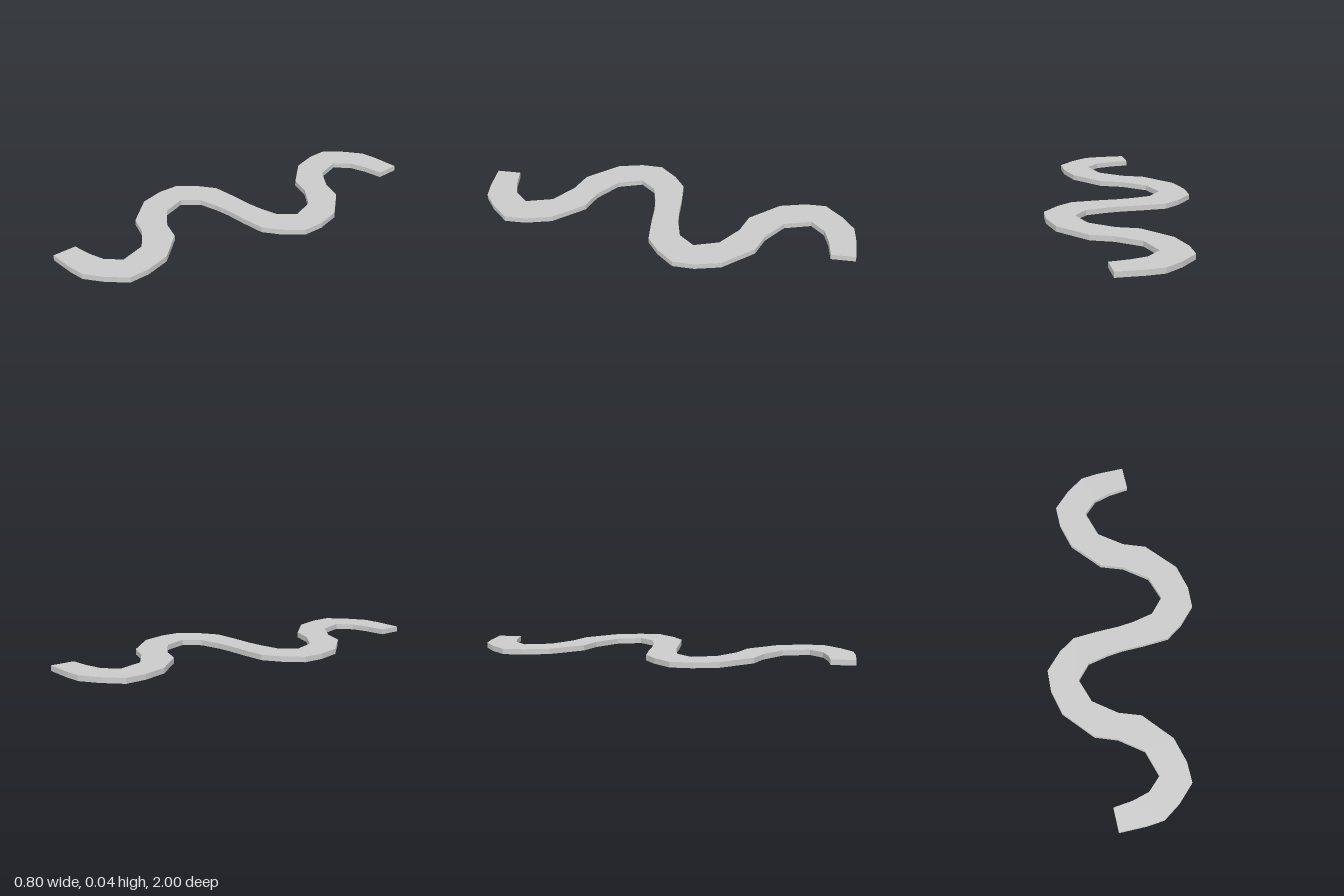
import * as THREE from 'three';

export function createModel() {
  const group = new THREE.Group();
  group.name = 'windingPath';

  // One long edge of the path as (x, z); the other edge is the same turned half a circle
  const edge = [
    [0.145, -1], [0, -0.987], [-0.087, -0.97], [-0.172, -0.9], [-0.25, -0.807],
    [-0.24, -0.7], [-0.193, -0.57], [-0.05, -0.43], [0.066, -0.4], [0.193, -0.32],
    [0.246, -0.198], [0.183, -0.114], [0.08, -0.082], [0, -0.066], [-0.12, -0.053],
    [-0.246, -0.034], [-0.325, 0.03], [-0.4, 0.125], [-0.395, 0.235], [-0.352, 0.362],
    [-0.204, 0.505], [-0.087, 0.537], [0.04, 0.616], [0.093, 0.75], [0.03, 0.823],
    [-0.055, 0.855], [-0.156, 0.876],
  ];
  const outline = [...edge, ...edge.map(([x, z]) => [-x, -z])];
  const shape = new THREE.Shape(outline.map(([x, z]) => new THREE.Vector2(x, z)));

  // Flat slab laid down on the ground
  const thickness = 0.028;
  const geometry = new THREE.ExtrudeGeometry(shape, { depth: thickness, bevelEnabled: false });
  geometry.rotateX(Math.PI / 2);
  geometry.translate(0, thickness, 0);

  // Slight rise towards +x
  const pos = geometry.attributes.position;
  for (let i = 0; i < pos.count; i++) {
    pos.setY(i, pos.getY(i) + 0.0125 * (pos.getX(i) + 0.4));
  }
  geometry.computeVertexNormals();

  const path = new THREE.Mesh(
    geometry,
    new THREE.MeshStandardMaterial({ color: 0xcccccc, flatShading: true })
  );
  path.name = 'path';
  group.add(path);
  return group;
}
